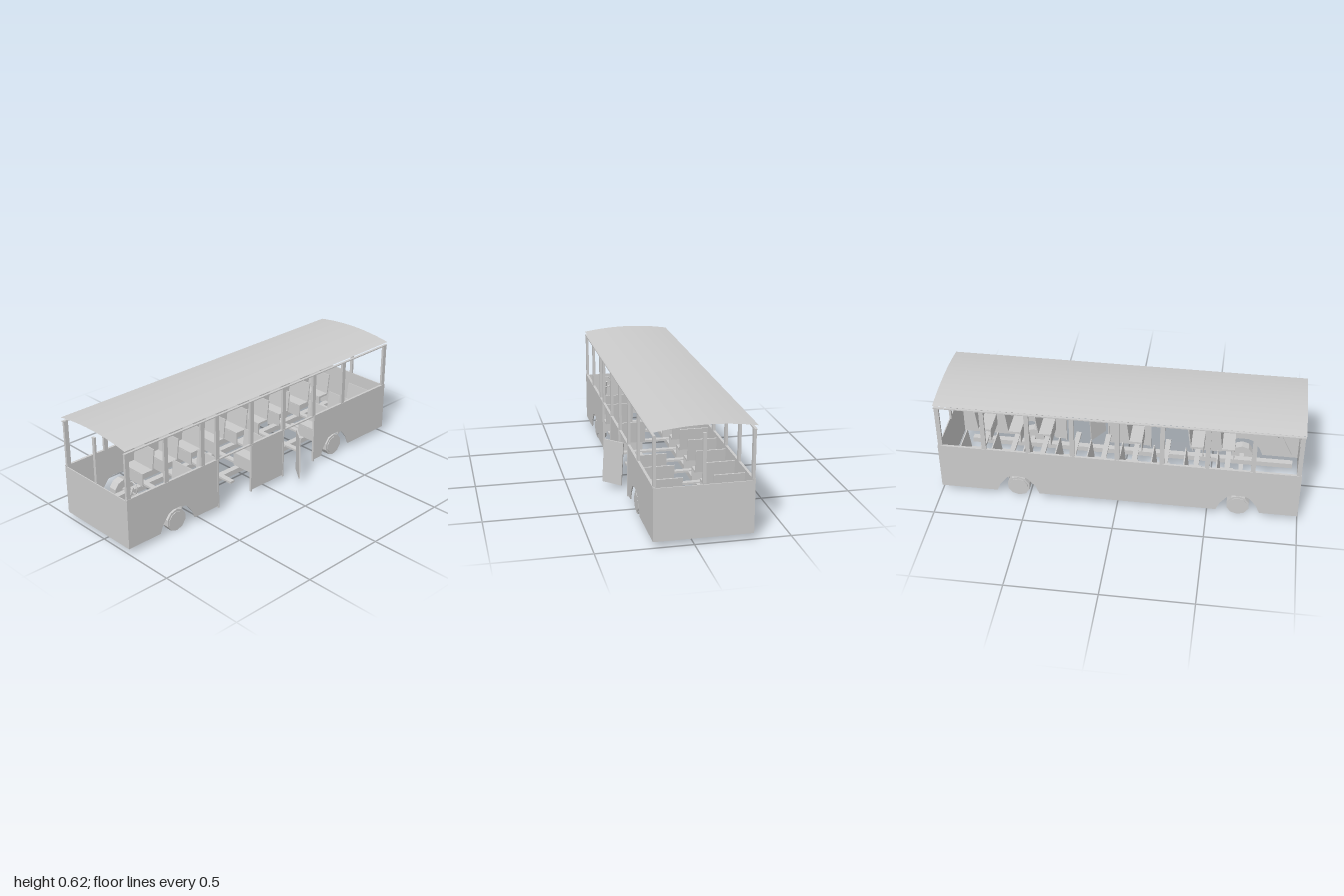
import * as THREE from 'three';

const FRONT = 0.207, BACK = -0.302, MID = -0.047; // side wall planes and centre line (z)
const SILL = 0.037, WAIST = 0.32, EAVE = 0.58; // heights
const AXLES = [-0.67, 0.56];

export function createModel() {
  const bus = new THREE.Group();
  bus.name = 'bus';
  const mat = new THREE.MeshStandardMaterial({ color: 0xcccccc, flatShading: true, side: THREE.DoubleSide });
  const smooth = new THREE.MeshStandardMaterial({ color: 0xcccccc, side: THREE.DoubleSide });

  const add = (name, geo, x = 0, y = 0, z = 0, m = mat) => {
    const mesh = new THREE.Mesh(geo, m);
    mesh.name = name;
    mesh.position.set(x, y, z);
    bus.add(mesh);
    return mesh;
  };
  const box = (name, w, h, d, x, y, z) => add(name, new THREE.BoxGeometry(w, h, d), x, y, z);

  // Side wall from x0 to x1 with a cut-out over each axle inside it
  const arch = [[-0.12, SILL], [-0.1, 0.085], [-0.06, 0.135], [-0.03, 0.147],
    [0.03, 0.147], [0.06, 0.135], [0.1, 0.085], [0.12, SILL]];
  const wall = (name, x0, x1, z) => {
    const s = new THREE.Shape();
    s.moveTo(x0, SILL);
    for (const a of AXLES) {
      if (a > x0 && a < x1) arch.forEach(([dx, y]) => s.lineTo(a + dx, y));
    }
    s.lineTo(x1, SILL);
    s.lineTo(x1, WAIST);
    s.lineTo(x0, WAIST);
    const geo = new THREE.ExtrudeGeometry(s, { depth: 0.006, bevelEnabled: false });
    add(name, geo, 0, 0, z - 0.003);
  };
  wall('backSideWall', -1, 1, BACK);
  wall('frontSideWall', -1, -0.38, FRONT);
  wall('frontSideWall', -0.13, 0.12, FRONT);
  wall('frontSideWall', 0.375, 1, FRONT);

  // End walls
  for (const side of [-1, 1]) {
    box('endWall', 0.006, 0.28, FRONT - BACK, side * 0.997, 0.176, MID);
    box('endCentrePost', 0.012, EAVE - WAIST, 0.018, side * 0.99, (EAVE + WAIST) / 2, MID);
  }

  // Window posts on both sides
  const post = (x, z) => box('windowPost', 0.025, EAVE - WAIST, 0.014, x, (EAVE + WAIST) / 2, z);
  for (let i = -4; i <= 4; i++) post(i * 0.246, BACK + 0.005);
  for (const x of [-0.985, -0.735, -0.485, -0.38, -0.125, 0.125, 0.37, 0.62, 0.985]) post(x, FRONT - 0.005);

  // Waist and eave rails
  for (const z of [FRONT - 0.003, BACK + 0.003]) {
    box('waistRail', 2, 0.007, 0.014, 0, WAIST, z);
    box('eaveRail', 2, 0.006, 0.014, 0, EAVE, z);
  }

  // Door frames and the open door
  for (const x of [-0.38, -0.13, 0.12, 0.375]) {
    box('doorFrame', 0.008, 0.29, 0.012, x, 0.172, FRONT);
  }
  const door = box('openDoor', 0.118, 0.25, 0.008, 0.195, 0.16, 0.257);
  door.rotation.set(0, Math.atan2(0.09, 0.07), -0.06);

  // Arched roof sheet
  const roof = new THREE.PlaneGeometry(2, 0.525, 1, 12).rotateX(-Math.PI / 2);
  const p = roof.attributes.position;
  for (let i = 0; i < p.count; i++) p.setY(i, 0.023 * (1 - (p.getZ(i) / 0.2625) ** 2));
  roof.computeVertexNormals();
  add('roof', roof, 0, 0.6, -0.05, smooth);

  // Wheels with a raised hub
  for (const x of AXLES) {
    for (const [z, out] of [[0.174, 1], [-0.265, -1]]) {
      add('wheel', new THREE.CylinderGeometry(0.064, 0.064, 0.05, 10).rotateX(Math.PI / 2), x, 0.067, z);
      add('hub', new THREE.CylinderGeometry(0.052, 0.052, 0.006, 10).rotateX(Math.PI / 2), x, 0.067, z + out * 0.026);
    }
    box('axle', 0.025, 0.025, 0.41, x, 0.07, MID);
  }

  // Chassis beams and cross members
  for (const z of [MID - 0.11, MID + 0.11]) box('chassisBeam', 1.86, 0.03, 0.035, -0.03, 0.1, z);

  // Double seats facing -x; the door side stays clear at the doorways
  const seat = (x, z) => {
    const w = 0.16;
    box('seatCushion', 0.075, 0.012, w, x - 0.037, 0.187, z);
    box('seatFront', 0.006, 0.07, w, x - 0.072, 0.15, z);
    box('seatBack', 0.007, 0.125, w, x + 0.007, 0.25, z).rotation.z = -0.12;
  };
  for (let k = -2; k <= 6; k++) {
    const x = -0.2 + k * 0.177;
    seat(x, BACK + 0.095);
    if (![0, 2, 3].includes(k)) seat(x, FRONT - 0.095);
    box('crossMember', 0.03, 0.012, 0.44, x - 0.04, 0.115, MID);
  }

  // Steering wheel on its column
  const wheel = add('steeringWheel', new THREE.TorusGeometry(0.032, 0.004, 6, 16), -0.87, 0.3, 0.1);
  wheel.rotation.y = Math.PI / 2;
  const column = box('steeringColumn', 0.008, 0.18, 0.008, -0.91, 0.22, 0.1);
  column.rotation.z = -0.45;

  return bus;
}
